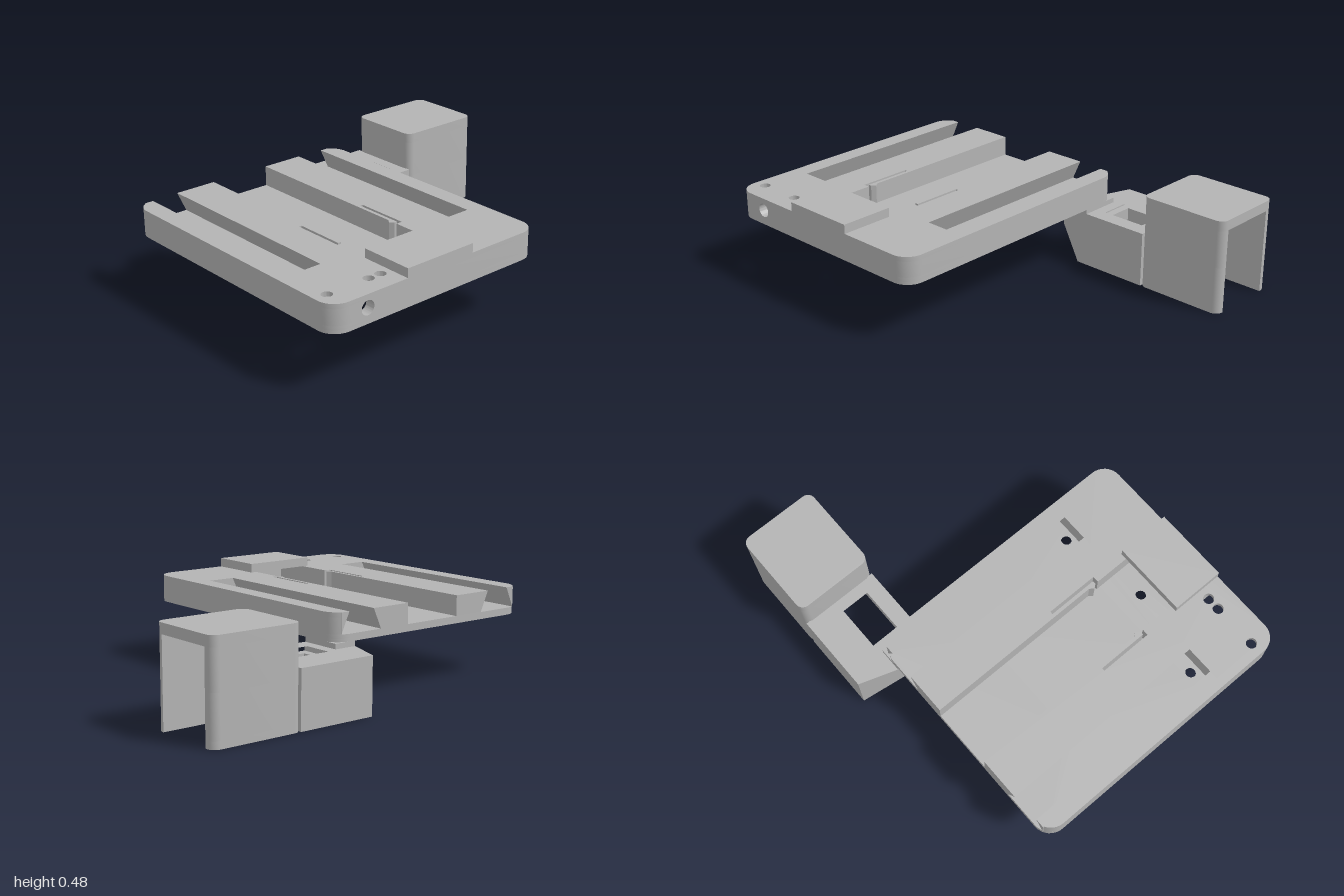
import * as THREE from 'three';
import { toCreasedNormals } from 'three/addons/utils/BufferGeometryUtils.js';
import { ConvexGeometry } from 'three/addons/geometries/ConvexGeometry.js';

const plastic = new THREE.MeshStandardMaterial({ color: 0xb3b3b3 });
plastic.name = 'greyPlastic';

// Plan helpers: every point is [x, z]; slabs are extruded from y0 to y1.
const vec = ([x, z]) => new THREE.Vector2(x, -z);
const rect = (x0, x1, z0, z1) => [[x0, z0], [x1, z0], [x1, z1], [x0, z1]];

function arc(cx, cz, r, from, to, steps = 8) {
  return Array.from({ length: steps + 1 }, (_, i) => {
    const a = THREE.MathUtils.degToRad(from + (to - from) * i / steps);
    return [cx + r * Math.cos(a), cz + r * Math.sin(a)];
  });
}
const circle = (x, z, r) => arc(x, z, r, 0, 345, 23);

function roundRect(x0, x1, z0, z1, r) {
  return [
    ...arc(x1 - r, z1 - r, r, 0, 90), ...arc(x0 + r, z1 - r, r, 90, 180),
    ...arc(x0 + r, z0 + r, r, 180, 270), ...arc(x1 - r, z0 + r, r, 270, 360),
  ];
}

function add(parent, name, geometry) {
  const mesh = new THREE.Mesh(geometry, plastic);
  mesh.name = name;
  parent.add(mesh);
  return mesh;
}

function slab(parent, name, outline, y0, y1, holes = []) {
  const shape = new THREE.Shape(outline.map(vec));
  holes.forEach(h => shape.holes.push(new THREE.Path(h.map(vec))));
  const geo = new THREE.ExtrudeGeometry(shape, { depth: y1 - y0, bevelEnabled: false });
  geo.rotateX(-Math.PI / 2).translate(0, y0, 0);
  return add(parent, name, toCreasedNormals(geo, 0.6));
}

function buildPlate() {
  const plate = new THREE.Group();
  plate.name = 'mountingPlate';
  const cx = -0.4;

  // Half outline above the floor: rounded corners, dovetail slot, centre channel and clip arm
  const half = [
    ...arc(0.51, 0.71, 0.09, 90, 0), ...arc(0.51, -0.53, 0.09, 0, -60),
    [0.555, 0.45], [0.325, 0.45], [0.325, -0.62], [0.158, -0.62],
    [0.158, 0.295], [0.143, 0.315], [0.158, 0.335], [0.175, 0.335],
    [0.175, 0.08], [0.19, 0.08], [0.19, 0.35], [0.158, 0.35], [0.158, 0.72],
  ];
  const channelled = [
    ...half.map(([u, z]) => [cx + u, z]),
    ...half.slice().reverse().map(([u, z]) => [cx - u, z]),
  ];
  // Socket pocket joined to the front edge by a notch
  const notch = [
    [-0.85, 0.8], [-0.85, 0.75], [-0.963, 0.75], [-0.963, 0.55],
    [-0.615, 0.55], [-0.615, 0.75], [-0.77, 0.75], [-0.77, 0.8],
  ];
  const full = roundRect(-1, 0.2, -0.62, 0.8, 0.09);

  const blind = [];
  for (const s of [-1, 1]) for (const z of [-0.17, 0.42]) blind.push(circle(cx + s * 0.245, z, 0.05));
  const screws = [[-0.84, 0.41], [0.045, 0.41], [-0.4, 0.495]].map(([x, z]) => circle(x, z, 0.026));
  const leds = [-0.935, -0.71, -0.645].map(x => circle(x, 0.69, 0.026));

  slab(plate, 'bottomLipLayer', full, 0.3, 0.315, [...blind, ...screws, rect(-0.97, -0.6, 0.53, 0.77)]);
  slab(plate, 'floorLayer', full, 0.315, 0.335, [...blind, ...screws, rect(-0.963, -0.615, 0.55, 0.75)]);
  slab(plate, 'railLayer', [...channelled, ...notch], 0.335, 0.412, blind);
  slab(plate, 'topLayer', channelled, 0.412, 0.435, leds);
  slab(plate, 'raisedCover', rect(-0.59, -0.21, 0.53, 0.8), 0.435, 0.48);

  // Slanted undercut walls of the two dovetail slots
  for (const s of [-1, 1]) {
    for (const [edge, wall] of [[0.51, 0.555], [0.37, 0.325]]) {
      const tri = new THREE.Shape([
        new THREE.Vector2(cx + s * edge, 0.435),
        new THREE.Vector2(cx + s * wall, 0.435),
        new THREE.Vector2(cx + s * wall, 0.335),
      ]);
      const z0 = edge > wall ? -0.62 : -0.613;
      const geo = new THREE.ExtrudeGeometry(tri, { depth: 0.45 - z0, bevelEnabled: false });
      add(plate, 'dovetailWall', geo.translate(0, 0, z0));
    }
  }

  // Front wall insert with the round cable hole
  const front = new THREE.Shape([[-0.85, 0.335], [-0.77, 0.335], [-0.77, 0.412], [-0.85, 0.412]]
    .map(p => new THREE.Vector2(...p)));
  front.holes.push(new THREE.Path().absarc(-0.81, 0.3735, 0.034, 0, Math.PI * 2, true));
  const frontGeo = new THREE.ExtrudeGeometry(front, { depth: 0.05, bevelEnabled: false, curveSegments: 24 });
  add(plate, 'cableHoleWall', toCreasedNormals(frontGeo.translate(0, 0, 0.75), 0.6));
  return plate;
}

function buildHousing() {
  const housing = new THREE.Group();
  housing.name = 'sideHousing';
  const zb = -0.81, zf = -0.41, r = 0.04;
  const back = -0.76, front = -0.455;

  // Tall box, open to the right and below
  slab(housing, 'boxRoof', roundRect(0.54, 1, zb, zf, r), 0.42, 0.47);
  slab(housing, 'boxUpperWalls', [
    ...arc(1 - r, zf - r, r, 0, 90), ...arc(0.54 + r, zf - r, r, 90, 180),
    ...arc(0.54 + r, zb + r, r, 180, 270), ...arc(1 - r, zb + r, r, 270, 360),
    [1, back], [0.58, back], [0.58, front], [1, front],
  ], 0.235, 0.42);
  const frontWall = [...arc(1 - r, zf - r, r, 0, 90), ...arc(0.54 + r, zf - r, r, 90, 180), [0.54, front], [1, front]];
  const backWall = [...arc(0.54 + r, zb + r, r, 180, 270), ...arc(1 - r, zb + r, r, 270, 360), [1, back]];
  slab(housing, 'boxFrontWall', frontWall, 0, 0.235);
  slab(housing, 'boxBackWall', [...backWall, [0.58, back], [0.58, -0.685], [0.54, -0.685]], 0.035, 0.235);
  slab(housing, 'boxBackLip', [...backWall, [0.54, back]], 0, 0.035);

  // Low arm: hollow from below, with a window through its roof
  const arm = (x0, z0) => [
    [0.2, zb], [0.545, zb], [0.545, z0], [x0, z0], [x0, front], [0.545, front], [0.545, zf], [0.2, zf],
  ];
  slab(housing, 'armLip', arm(0.215, back), 0, 0.035);
  slab(housing, 'armWalls', arm(0.24, -0.685), 0.035, 0.235);
  slab(housing, 'armRoof', rect(0.2, 0.545, zb, zf), 0.235, 0.275, [rect(0.25, 0.48, -0.635, -0.49)]);

  // Faceted end that tapers under the plate
  const pts = [
    [0.145, 0, zb], [0.145, 0, zf], [0.2, 0, zb], [0.2, 0, zf],
    [0.05, 0.18, -0.53], [0.05, 0.18, zf],
    [0.145, 0.275, zb], [0.05, 0.275, -0.53], [0.05, 0.275, zf], [0.2, 0.275, zb], [0.2, 0.275, zf],
  ].map(p => new THREE.Vector3(...p));
  add(housing, 'taperedEnd', new ConvexGeometry(pts));
  slab(housing, 'plateJoint', [[0.081, -0.62], [0.195, -0.62], [0.195, zf], [0.05, zf], [0.05, -0.53]], 0.275, 0.3);
  return housing;
}

export function createModel() {
  const model = new THREE.Group();
  model.name = 'dockWithHousing';
  model.add(buildPlate(), buildHousing());
  return model;
}
